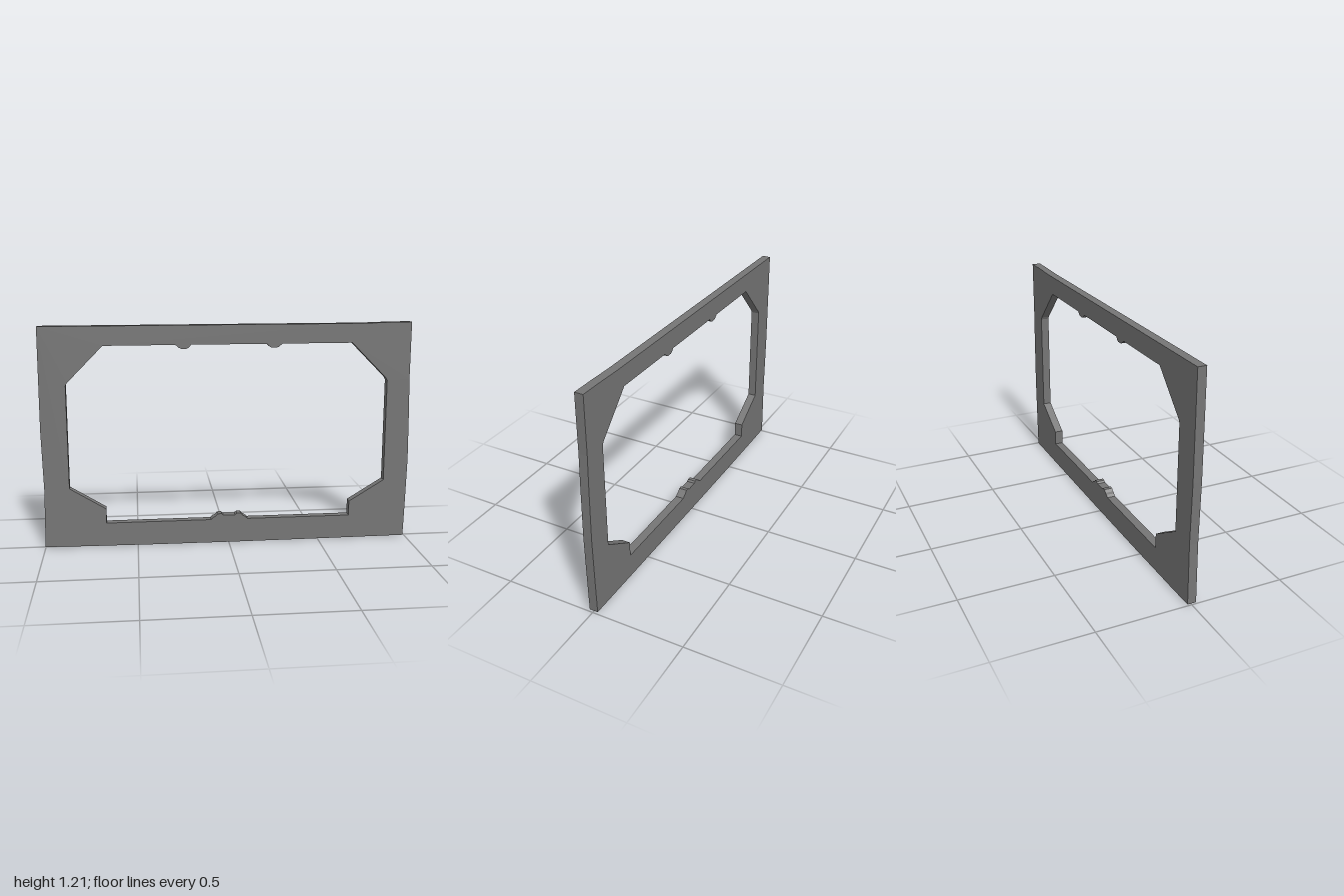
import * as THREE from 'three';

const DEPTH = 0.046;
const MIDDLE = 0.003; // centre line of the opening
const toVectors = (pts) => pts.map(([x, y]) => new THREE.Vector2(x, y));
const mirrorX = (pts) => pts.map(([x, y]) => [2 * MIDDLE - x, y]).reverse();

export function createModel() {
  const group = new THREE.Group();
  group.name = 'windowFrame';

  // Slightly uneven outer edge, counter-clockwise from the lower left
  const outer = [
    [-1, 0.008], [-0.86, 0.005], [-0.42, 0.001], [0, 0], [0.43, 0.001],
    [0.99, 0.004], [0.995, 0.2], [1, 0.45], [0.995, 0.72], [0.99, 0.9],
    [0.99, 1.206], [0.87, 1.205], [0.72, 1.201], [-0.996, 1.201],
    [-1, 0.65], [-0.993, 0.33],
  ];

  // Right half of the opening, from the sill centre up to the lintel centre
  const bump = (x) => [
    [x + 0.043, 1.098], [x + 0.024, 1.082], [x + 0.012, 1.077],
    [x - 0.016, 1.077], [x - 0.028, 1.084], [x - 0.04, 1.098],
  ];
  const rightHalf = [
    [0.035, 0.155], [0.045, 0.164], [0.066, 0.164], [0.079, 0.15],
    [0.092, 0.144], [0.104, 0.132],
    [0.674, 0.132], [0.674, 0.213], [0.866, 0.331], [0.866, 0.89],
    [0.858, 0.905], [0.667, 1.098], ...bump(0.245),
  ];

  // Flat frame with the notched opening cut through
  const shape = new THREE.Shape(toVectors(outer));
  shape.holes.push(new THREE.Path(toVectors([...rightHalf, ...mirrorX(rightHalf)])));
  const geometry = new THREE.ExtrudeGeometry(shape, { depth: DEPTH, bevelEnabled: false });
  geometry.translate(0, 0, -DEPTH / 2);

  const frame = new THREE.Mesh(
    geometry,
    new THREE.MeshStandardMaterial({ color: 0x757575, flatShading: true }),
  );
  frame.name = 'frame';
  group.add(frame);
  return group;
}
